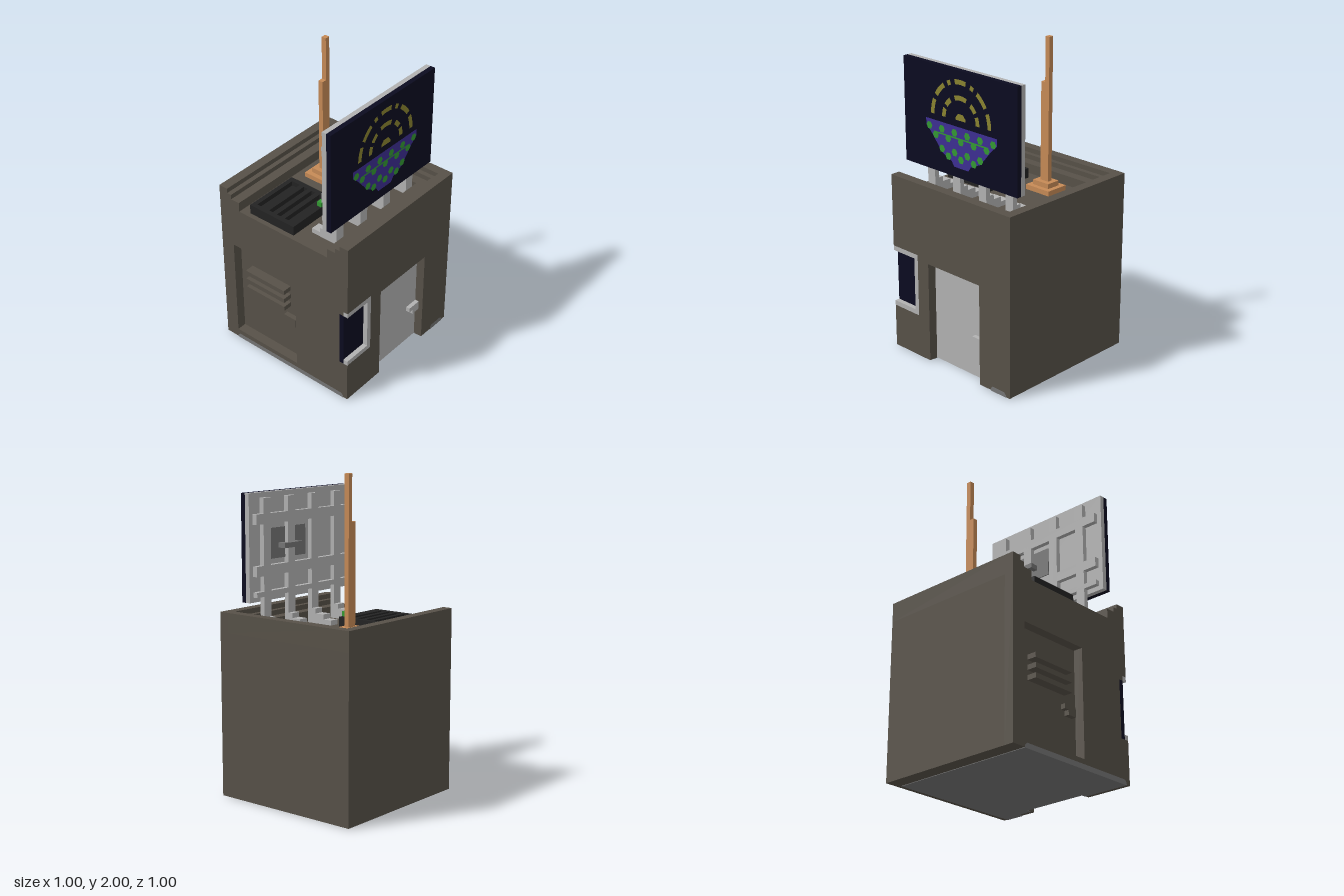
import * as THREE from 'three';

const U = 1 / 32; // grid unit
const make = (name, color) => {
  const m = new THREE.MeshStandardMaterial({ color });
  m.name = name;
  return m;
};

export function createModel() {
  const wall = make('wall brown', 0x575148);
  const light = make('light grey', 0xb2b2b2);
  const grey = make('mid grey', 0x757575);
  const dark = make('screen navy', 0x0b0b20);
  const black = make('unit black', 0x232323);
  const copper = make('copper', 0xc68a56);
  const green = make('green', 0x339933);
  const yellow = make('yellow', 0x8a8330);
  const purple = make('purple', 0x3d2e92);

  const model = new THREE.Group();
  const group = (name) => {
    const g = new THREE.Group();
    g.name = name;
    model.add(g);
    return g;
  };
  // Box from grid limits on each axis
  const box = (parent, name, mat, x0, x1, y0, y1, z0, z1) => {
    const m = new THREE.Mesh(new THREE.BoxGeometry((x1 - x0) * U, (y1 - y0) * U, (z1 - z0) * U), mat);
    m.position.set((x0 + x1) / 2 * U, (y0 + y1) / 2 * U, (z0 + z1) / 2 * U);
    m.name = name;
    parent.add(m);
  };

  // Building walls, leaving recesses for front panel, door and corner window
  const building = group('building');
  const B = 0.1;
  [
    [-16, 14, B, 33, -16, 14],
    [-16, -13, B, 33, 14, 16], [3, 14, B, 33, 14, 16],
    [-13, 3, B, 2, 14, 16], [-13, 3, 24, 33, 14, 16],
    [14, 16, B, 33, -16, -8], [14, 16, 21, 33, -8, 6], [14, 16, B, 33, 6, 9],
    [14, 16, B, 9, 9, 16], [14, 16, 22, 33, 9, 16],
    [14, 15, 21, 22, 9, 16], [14, 15, 9, 21, 9, 10],
  ].forEach((b) => box(building, 'wall', wall, ...b));

  // Stepped parapet on three sides, open at the front
  [[16, 14, 37], [14, 13, 36], [13, 11, 35]].forEach(([o, i, h]) => {
    box(building, 'parapetLeft', wall, i, o, 33, h, -o, 16);
    box(building, 'parapetRight', wall, -o, -i, 33, h, -o, 16);
    box(building, 'parapetBack', wall, -i, i, 33, h, -o, -i);
  });

  // Front panel louvres and handle
  const panel = group('frontPanel');
  for (const y of [14, 16, 18]) box(panel, 'louvre', wall, -10, 0, y, y + 1, 14, 16);
  box(panel, 'handleBar', wall, -1, 2, 11, 12, 14, 15);
  box(panel, 'handlePlate', wall, 0, 2, 10, 11, 14, 15);

  // Side door
  const door = group('sideDoor');
  box(door, 'doorLeaf', light, 14, 14.15, B, 21, -8, 6);
  box(door, 'handleBar', light, 14, 15, 8, 9, -8, -5);
  box(door, 'handlePlate', light, 14, 15, 7, 8, -8, -6);

  // Corner window
  const win = group('cornerWindow');
  box(win, 'glass', dark, 14, 15, 9, 21, 10, 16);
  box(win, 'frameBottom', light, 15, 16, 9, 10, 9, 16);
  box(win, 'frameTop', light, 15, 16, 21, 22, 9, 16);
  box(win, 'framePost', light, 15, 16, 10, 21, 9, 10);

  // Worn grey base with chamfered patches on two walls
  const base = group('base');
  [[-13, 14, -15, 16], [14, 16, -15, -11], [14, 15, -11, -8], [14, 15, 6, 16]]
    .forEach(([x0, x1, z0, z1]) => box(base, 'underside', grey, x0, x1, 0, 0.2, z0, z1));
  const patch = (a, b) => {
    const s = new THREE.Shape([[a, 0], [b, 0], [b, 0.5], [b - 0.5, 1], [a + 0.5, 1], [a, 0.5]]
      .map(([x, y]) => new THREE.Vector2(x * U, y * U)));
    const m = new THREE.Mesh(new THREE.ShapeGeometry(s), grey);
    m.name = 'basePatch';
    base.add(m);
    return m;
  };
  patch(-13, 15).position.z = 16.04 * U;
  const sidePatch = patch(11, 15);
  sidePatch.rotation.y = Math.PI / 2;
  sidePatch.position.x = 16.04 * U;

  // Roof cooling unit with grooved top and indicator lamps
  const unit = group('roofUnit');
  box(unit, 'body', black, -9, 2, 33, 34, 3, 15);
  [[-9, -8], [-6, -5], [-4, -3], [-2, -1], [0, 2]]
    .forEach(([a, b]) => box(unit, 'ridge', black, a, b, 34, 35, 4, 14));
  box(unit, 'rimBack', black, -9, 2, 34, 35, 3, 4);
  box(unit, 'rimFront', black, -9, 2, 34, 35, 14, 15);
  for (const z of [4, 6]) box(unit, 'lamp', green, 1, 2, 35, 36, z, z + 1);

  // Antenna
  const antenna = group('antenna');
  box(antenna, 'basePlate', copper, -9, -4, 33, 34, -7, -1);
  box(antenna, 'baseStep', copper, -8, -5, 34, 35, -6, -2);
  box(antenna, 'tallRod', copper, -7, -6, 35, 64, -5, -4);
  box(antenna, 'shortRod', copper, -7, -6, 35, 55, -4, -3);

  // Billboard with rear lattice and stepped feet
  const board = group('billboard');
  box(board, 'screen', dark, 11, 12, 39, 60, -14, 16);
  box(board, 'backing', light, 10, 11, 39, 60, -14, 16);
  for (const z of [-11, -4, 3, 10]) {
    box(board, 'post', light, 9, 10, 33, 59, z, z + 2);
    [[4, 33], [6, 34], [8, 35]].forEach(([x, y]) => box(board, 'foot', light, x, 9, y, y + 1, z, z + 2));
  }
  for (const [a, b] of [[54, 56], [44, 46], [40, 41]]) box(board, 'rail', light, 9, 10, a, b, -13, 15);
  box(board, 'hatch', grey, 9.8, 10, 47, 53, -9, 2);
  box(board, 'hatchHandle', grey, 8, 9, 49, 50, -6, -1);
  for (const z of [-6, -2]) box(board, 'handleMount', grey, 9, 10, 49, 50, z, z + 1);

  // Painted bowl picture on the screen
  const picture = group('bowlPicture');
  picture.rotation.y = Math.PI / 2;
  picture.position.set(12 * U, 0, 0.0156);
  const paint = (name, geo, mat, x, y, lift) => {
    const m = new THREE.Mesh(geo, mat);
    m.name = name;
    m.position.set(x, y, lift);
    picture.add(m);
  };
  const flat = (half) => new THREE.ShapeGeometry(new THREE.Shape(
    [...half.map(([x, y]) => new THREE.Vector2(-x, y)),
      ...half.slice().reverse().map(([x, y]) => new THREE.Vector2(x, y))]));
  paint('bowl', flat([[0.295, 1.534], [0.295, 1.49], [0.25, 1.45], [0.16, 1.345], [0.08, 1.31], [0.06, 1.28]]),
    purple, 0, 0, 0.002);
  paint('bowlBand', new THREE.PlaneGeometry(0.44, 0.01), green, 0, 1.462, 0.004);
  const diamond = new THREE.CircleGeometry(0.025, 6);
  [[1.492, [0.053, 0.159, 0.265]], [1.445, [0, 0.106, 0.212]], [1.37, [0.053, 0.159]], [1.335, [0, 0.106]]]
    .forEach(([y, xs]) => xs.forEach((x) => {
      for (const s of x ? [-1, 1] : [1]) paint('dot', diamond, green, s * x, y, 0.004);
    }));

  // Broken arcs above the bowl, angles measured from the top
  const arc = (r, a, b) => {
    const rad = Math.PI / 180;
    paint('arc', new THREE.RingGeometry(r - 0.015, r + 0.015, 8, 1, (90 - b) * rad, (b - a) * rad),
      yellow, 0, 1.572, 0.003);
  };
  arc(0.235, -11, 11);
  arc(0.14, -20, 20);
  [[0.235, 20, 27], [0.235, 35, 59], [0.235, 67, 90], [0.14, 36, 58], [0.14, 68, 90]]
    .forEach(([r, a, b]) => { arc(r, a, b); arc(r, -b, -a); });
  paint('mound', flat([[0.02, 1.615], [0.042, 1.59], [0.042, 1.575]]), yellow, 0, 0, 0.003);
  // Flat bowl shapes run clockwise from the upper left, so show both faces
  purple.side = yellow.side = THREE.DoubleSide;

  return model;
}
